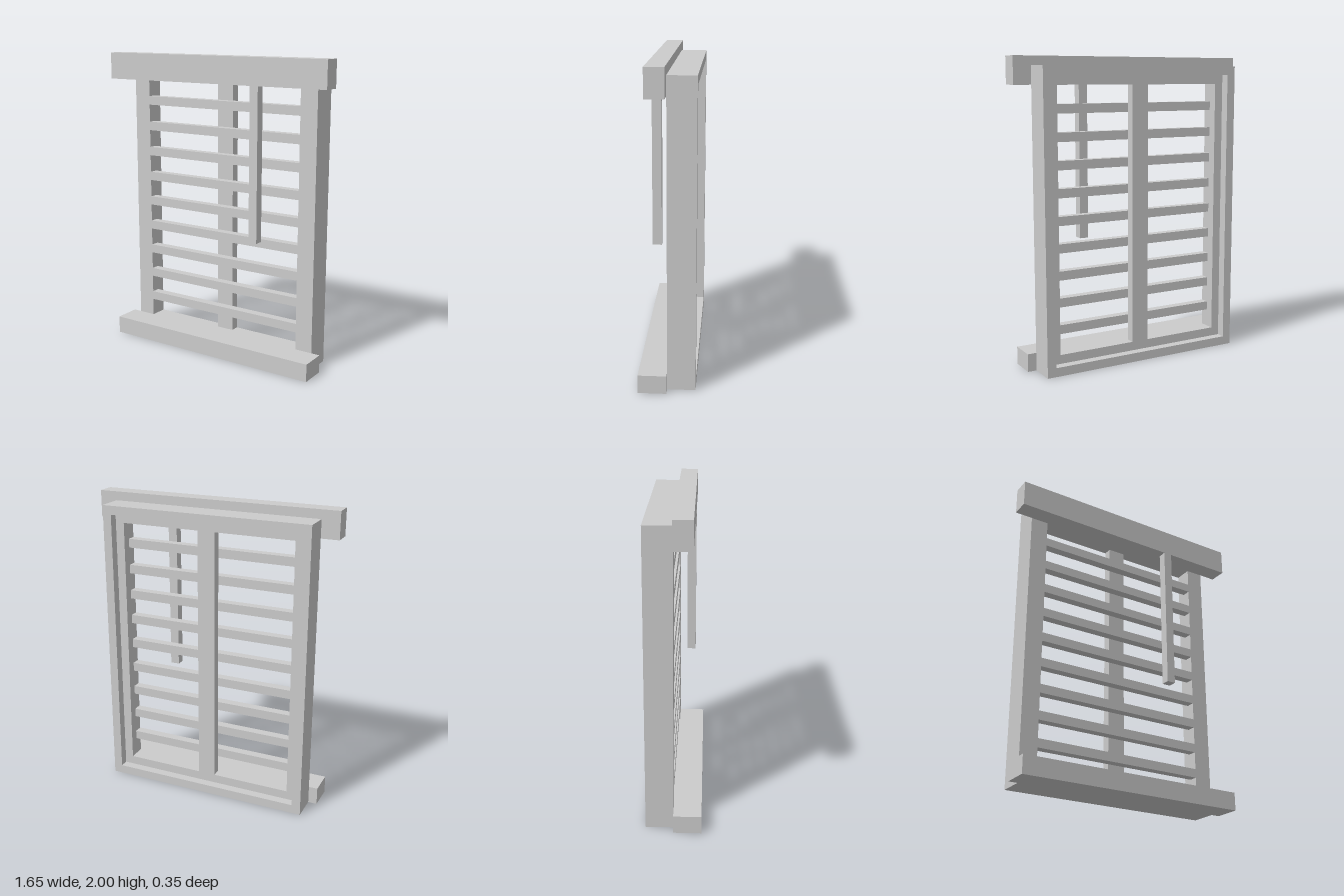
import * as THREE from 'three';

const U = 2 / 34; // grid module: the window is 34 modules tall

export function createModel() {
  const group = new THREE.Group();
  const material = new THREE.MeshStandardMaterial({ color: 0xcccccc, flatShading: true });

  const add = (name, geometry) => {
    const mesh = new THREE.Mesh(geometry, material);
    mesh.name = name;
    group.add(mesh);
    return mesh;
  };

  // Box given by its extents in modules
  const box = (name, [x0, x1], [y0, y1], [z0, z1]) => {
    const mesh = add(name, new THREE.BoxGeometry((x1 - x0) * U, (y1 - y0) * U, (z1 - z0) * U));
    mesh.position.set((x0 + x1) / 2 * U, (y0 + y1) / 2 * U, (z0 + z1) / 2 * U);
  };

  const rectangle = (PathType, halfWidth, y0, y1) => new PathType([
    new THREE.Vector2(-halfWidth * U, y0 * U),
    new THREE.Vector2(halfWidth * U, y0 * U),
    new THREE.Vector2(halfWidth * U, y1 * U),
    new THREE.Vector2(-halfWidth * U, y1 * U),
  ]);

  // Rectangular frame 12 modules half-wide with a border of even width
  const frame = (name, border, z0, z1) => {
    const shape = rectangle(THREE.Shape, 12, 0, 33);
    shape.holes.push(rectangle(THREE.Path, 12 - border, border, 33 - border));
    const geometry = new THREE.ExtrudeGeometry(shape, { depth: (z1 - z0) * U, bevelEnabled: false });
    add(name, geometry).position.z = z0 * U;
  };

  // Stepped frame: wide border in front, narrow rim at the back
  frame('windowFrame', 2, -2, 0);
  frame('backRim', 1, -3, -2);

  // Central upright behind the slats
  box('mullion', [-1, 1], [2, 31], [-2, -1]);

  // Horizontal blind slats
  for (let i = 0; i < 9; i++) {
    const y = 4 + 3 * i;
    box(`slat${i + 1}`, [-10, 10], [y, y + 1], [-1, 0]);
  }

  // Front trim and the hanging control rod
  box('sill', [-13, 13], [0, 2], [0, 3]);
  box('headRail', [-14, 14], [31, 34], [0, 2]);
  box('controlRod', [5, 6], [14, 31], [1, 2]);

  return group;
}
